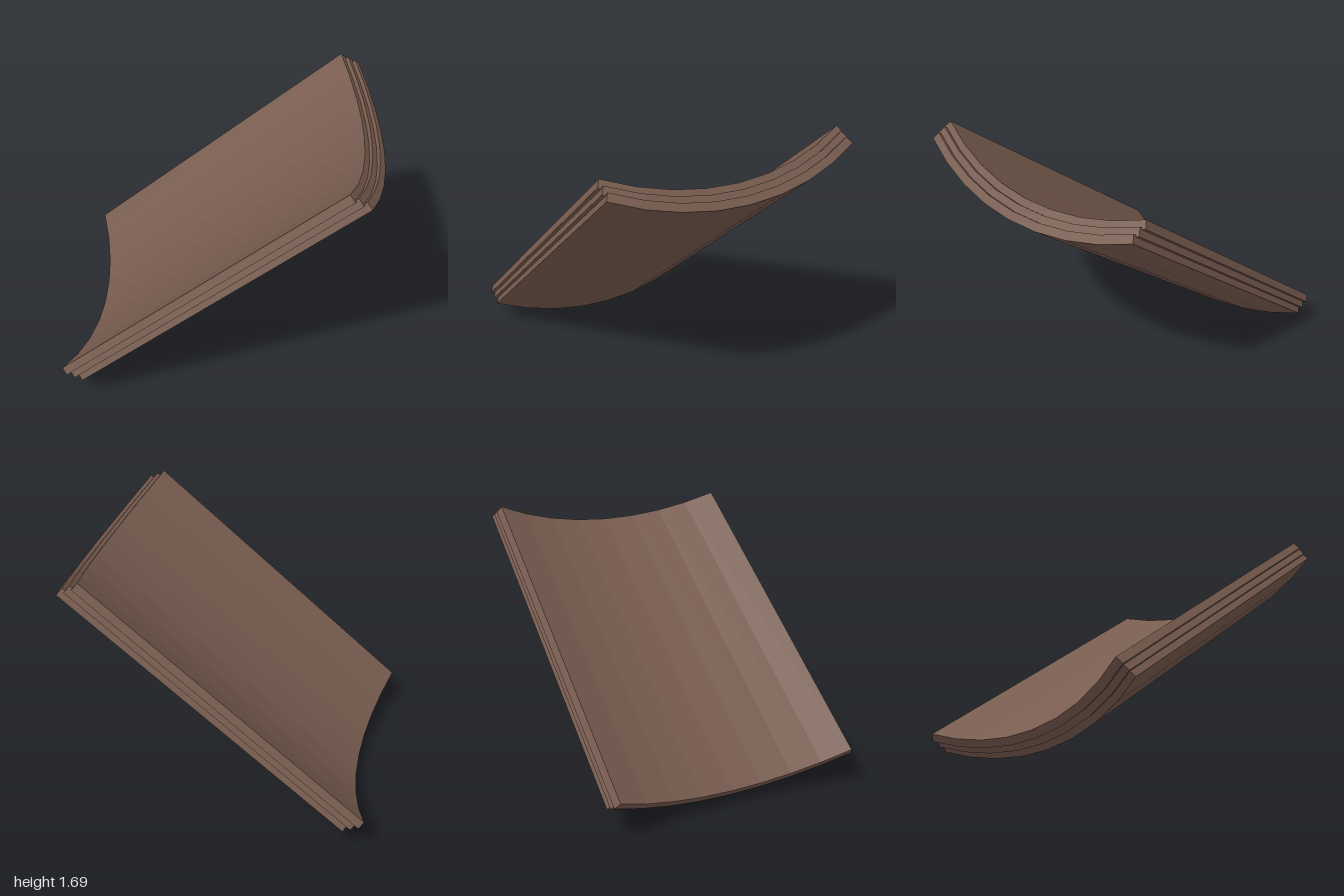
import * as THREE from 'three';

const RADIUS = 1.833;      // outer radius of the curved plate
const THICKNESS = 0.054;
const HALF_ANGLE = THREE.MathUtils.degToRad(27.63);
const SEGMENTS = 8;
const LENGTH = 2.262;

// Cross-section: a faceted arc band, its lowest point at y = 0
function arcBand() {
  const point = (radius, i) => {
    const a = HALF_ANGLE * (2 * i / SEGMENTS - 1);
    return new THREE.Vector2(radius * Math.sin(a), RADIUS - radius * Math.cos(a));
  };
  const points = [];
  for (let i = 0; i <= SEGMENTS; i++) points.push(point(RADIUS, i));
  for (let i = SEGMENTS; i >= 0; i--) points.push(point(RADIUS - THICKNESS, i));
  return new THREE.Shape(points);
}

export function createModel() {
  const model = new THREE.Group();
  model.name = 'curvedPlateStack';

  const brown = new THREE.MeshStandardMaterial({ color: 0x785c4f });
  brown.name = 'brown';

  // Plate runs along x, bowl side up
  const plate = new THREE.ExtrudeGeometry(arcBand(), { depth: LENGTH, bevelEnabled: false, steps: 1 });
  plate.rotateY(Math.PI / 2);

  // Three equal plates, each a little lower and further along than the last
  const stack = new THREE.Group();
  stack.name = 'tiltedStack';
  ['upperPlate', 'middlePlate', 'lowerPlate'].forEach((name, i) => {
    const mesh = new THREE.Mesh(plate, brown);
    mesh.name = name;
    mesh.position.set(-0.6095 + 0.023 * i, 0.569 - 0.048 * i, 0);
    stack.add(mesh);
  });
  stack.rotation.z = THREE.MathUtils.degToRad(40);
  model.add(stack);

  return model;
}
